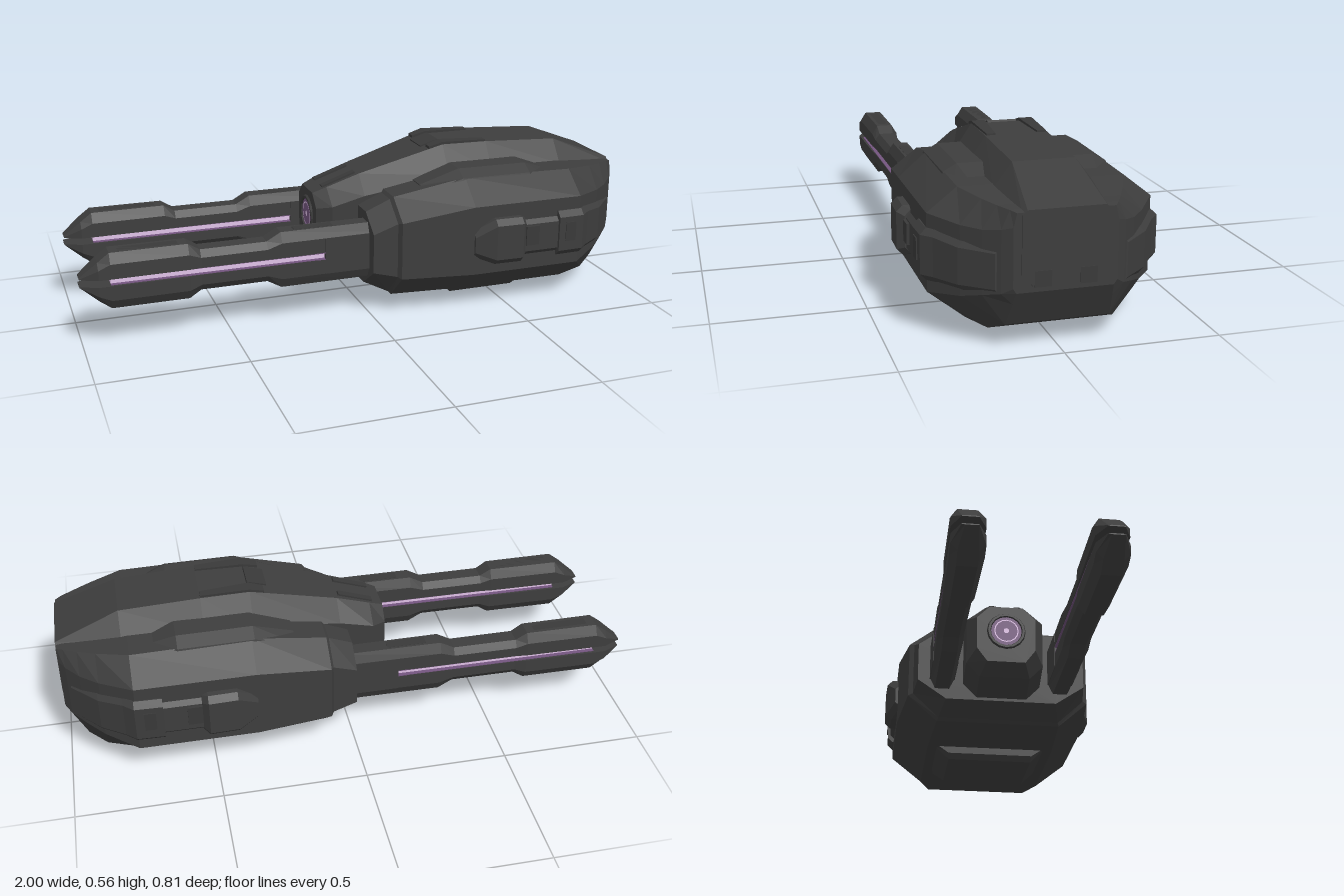
import * as THREE from 'three';

const shell = new THREE.MeshStandardMaterial({ color: 0x3d3d3d, flatShading: true });
const trim = new THREE.MeshStandardMaterial({ color: 0x393939, flatShading: true });
const glow = new THREE.MeshStandardMaterial({ color: 0xecccf4 });
const violet = new THREE.MeshStandardMaterial({ color: 0x74557f });

// Full ring from a right-left symmetric half profile of [z, y], bottom to top
const sym = (half) => [...half, ...half.map(([z, y]) => [-z, y]).reverse()];
// Ring reflected to the other side, keeping its winding
const flip = (ring) => ring.map(([z, y]) => [-z, y]).reverse();

// Skins rings of [z, y] points along x: sections = [[x, ring], ...]
function loft(sections) {
  const pos = [];
  const n = sections[0][1].length;
  const add = (s, j) => pos.push(sections[s][0], sections[s][1][j % n][1], sections[s][1][j % n][0]);
  for (let s = 0; s < sections.length - 1; s++) {
    for (let j = 0; j < n; j++) {
      add(s, j); add(s + 1, j); add(s, j + 1);
      add(s, j + 1); add(s + 1, j); add(s + 1, j + 1);
    }
  }
  const last = sections.length - 1;
  for (let j = 1; j < n - 1; j++) {
    add(0, 0); add(0, j); add(0, j + 1);
    add(last, 0); add(last, j + 1); add(last, j);
  }
  const g = new THREE.BufferGeometry();
  g.setAttribute('position', new THREE.Float32BufferAttribute(pos, 3));
  g.computeVertexNormals();
  return g;
}

function part(parent, name, geometry, material, x = 0, y = 0, z = 0) {
  const m = new THREE.Mesh(geometry, material);
  m.name = name;
  m.position.set(x, y, z);
  parent.add(m);
  return m;
}
const box = (parent, name, mat, w, h, d, x, y, z) =>
  part(parent, name, new THREE.BoxGeometry(w, h, d), mat, x, y, z);

// One barrel: two bevelled rails with a recessed glowing strip between them
function barrel(side) {
  const g = new THREE.Group();
  g.name = side > 0 ? 'leftBarrel' : 'rightBarrel';
  // x, rail height beyond the gap, half width
  const profile = [
    [-1, 0.004, 0.026], [-0.94, 0.055, 0.053], [-0.9, 0.085, 0.053], [-0.64, 0.085, 0.05],
    [-0.6, 0.06, 0.046], [-0.37, 0.06, 0.045], [-0.32, 0.088, 0.045], [0.05, 0.088, 0.042],
  ];
  const rail = (dir) => profile.map(([x, h, w]) => {
    const y = 0.238 + dir * 0.012;
    const half = [[w, y], [w, y + dir * h * 0.6], [w * 0.6, y + dir * h]];
    return [x, sym(dir > 0 ? half : half.reverse())];
  });
  part(g, 'upperRail', loft(rail(1)), shell);
  part(g, 'lowerRail', loft(rail(-1)), shell);
  // Glowing core with violet linings on the inner rail faces
  box(g, 'glowStrip', glow, 0.74, 0.022, 0.06, -0.53, 0.238, 0);
  for (const dir of [1, -1]) box(g, 'gapLining', violet, 0.74, 0.003, 0.088, -0.53, 0.238 + dir * 0.0115, 0);
  box(g, 'breechBlock', shell, 0.22, 0.13, 0.09, -0.055, 0.238, 0);
  box(g, 'railCap', trim, 0.2, 0.01, 0.035, -0.77, 0.33, 0);
  box(g, 'breechCap', trim, 0.14, 0.01, 0.035, -0.2, 0.334, 0);
  g.position.z = side * 0.215;
  return g;
}

// Armour on one flank: pod, panels and shoulder plate
function flank(side) {
  const g = new THREE.Group();
  g.name = side > 0 ? 'leftFlank' : 'rightFlank';
  const put = (ring) => (side > 0 ? ring : flip(ring));
  const pod = (x, z, lo, hi) => [x, put([
    [0.16, lo], [z - 0.02, lo], [z, lo + 0.02], [z, hi - 0.02], [z - 0.02, hi], [0.16, hi],
  ])];
  part(g, 'frontPod', loft([
    pod(0.35, 0.37, 0.205, 0.3), pod(0.42, 0.4, 0.18, 0.345), pod(0.52, 0.403, 0.18, 0.345), pod(0.54, 0.38, 0.19, 0.335),
  ]), shell);
  part(g, 'middlePod', loft([
    pod(0.54, 0.375, 0.19, 0.33), pod(0.67, 0.375, 0.19, 0.33),
  ]), shell);
  part(g, 'rearPod', loft([
    pod(0.67, 0.385, 0.18, 0.345), pod(0.765, 0.382, 0.18, 0.345), pod(0.8, 0.35, 0.18, 0.345),
    pod(0.88, 0.295, 0.18, 0.335), pod(0.965, 0.205, 0.185, 0.335),
  ]), shell);
  box(g, 'podHatch', trim, 0.04, 0.07, 0.01, 0.715, 0.27, side * 0.382);
  box(g, 'podLatch', trim, 0.05, 0.07, 0.02, 0.565, 0.27, side * 0.375);

  // Raised plate along the upper shoulder
  const plate = (x, zi, zo, y, t) => [x, put([
    [zi, y - 0.06], [zo, y - 0.06], [zo - 0.015, y - 0.015], [zo - 0.06, y + t], [zi, y + t],
  ])];
  part(g, 'shoulderPlate', loft([
    plate(0.2, 0.14, 0.27, 0.44, 0.005), plate(0.34, 0.14, 0.285, 0.485, 0.01),
    plate(0.6, 0.14, 0.285, 0.483, 0.01), plate(0.68, 0.14, 0.27, 0.46, 0.005),
  ]), shell);

  // Crown fin, nose plate and tail port
  part(g, 'crownFin', loft([
    [0.28, put([[0.065, 0.52], [0.1, 0.52], [0.1, 0.548], [0.065, 0.548]])],
    [0.33, put([[0.06, 0.52], [0.105, 0.52], [0.105, 0.562], [0.06, 0.562]])],
    [0.5, put([[0.07, 0.52], [0.1, 0.52], [0.1, 0.556], [0.07, 0.556]])],
  ]), trim);
  box(g, 'nosePlate', trim, 0.13, 0.01, 0.025, -0.05, 0.443, side * 0.045).rotation.z = 0.33;
  box(g, 'tailPort', trim, 0.006, 0.05, 0.052, 0.999, 0.24, side * 0.07);
  return g;
}

export function createModel() {
  const model = new THREE.Group();
  model.name = 'twinBarrelTurret';

  // Main hull: x, floor half width, floor y, side half width, side low y, side high y, roof half width, roof y
  const hull = [
    [-0.005, 0.2, 0.1, 0.303, 0.17, 0.31, 0.22, 0.37],
    [0.08, 0.22, 0.06, 0.315, 0.15, 0.345, 0.23, 0.41],
    [0.09, 0.225, 0.05, 0.332, 0.145, 0.35, 0.24, 0.42],
    [0.35, 0.24, 0.045, 0.36, 0.14, 0.39, 0.265, 0.472],
    [0.76, 0.24, 0.045, 0.36, 0.14, 0.39, 0.265, 0.465],
    [0.87, 0.2, 0.05, 0.285, 0.16, 0.38, 0.22, 0.455],
    [0.93, 0.165, 0.08, 0.235, 0.18, 0.38, 0.19, 0.45],
    [0.975, 0.155, 0.16, 0.19, 0.195, 0.39, 0.165, 0.447],
    [0.997, 0.15, 0.2, 0.16, 0.215, 0.4, 0.15, 0.443],
  ];
  part(model, 'hull', loft(hull.map(([x, zb, yb, w, yl, yu, zs, ys]) =>
    [x, sym([[zb, yb], [w, yl], [w, yu], [zs, ys]])])), shell);

  // Central spine and nose: x, half width, bottom y, shoulder y, top half width, top y
  const spine = [
    [-0.15, 0.105, 0.19, 0.36, 0.06, 0.405],
    [-0.1, 0.138, 0.15, 0.37, 0.07, 0.425],
    [0.02, 0.14, 0.1, 0.4, 0.075, 0.465],
    [0.33, 0.17, 0.1, 0.455, 0.105, 0.553],
    [0.5, 0.17, 0.1, 0.455, 0.105, 0.55],
    [0.78, 0.16, 0.2, 0.455, 0.1, 0.535],
    [1, 0.135, 0.205, 0.435, 0.12, 0.45],
  ];
  part(model, 'spine', loft(spine.map(([x, w, yb, ym, wt, yt]) =>
    [x, sym([[w * 0.65, yb], [w, yb + 0.05], [w, ym], [wt, yt]])])), shell);
  box(model, 'crownHatch', trim, 0.07, 0.01, 0.1, 0.3, 0.545, 0).rotation.z = 0.28;

  // Nose emitter facing forward along the barrels
  const eyeY = 0.31;
  const disc = (name, r0, r1, mat, x) => {
    part(model, name, new THREE.RingGeometry(r0, r1, 16), mat, x, eyeY, 0).rotation.y = -Math.PI / 2;
  };
  part(model, 'emitterRim', new THREE.TorusGeometry(0.062, 0.008, 6, 16), trim, -0.15, eyeY, 0).rotation.y = Math.PI / 2;
  disc('emitterLens', 0, 0.06, violet, -0.152);
  disc('emitterOuterGlow', 0.04, 0.044, glow, -0.154);
  disc('emitterCoreGlow', 0, 0.01, glow, -0.154);

  // Belly mount plate
  part(model, 'bellyPlate', loft([
    [0.335, sym([[0.16, 0.02], [0.21, 0.055]])],
    [0.35, sym([[0.158, 0], [0.21, 0.05]])],
    [0.6, sym([[0.158, 0], [0.21, 0.05]])],
    [0.67, sym([[0.158, 0.045], [0.21, 0.06]])],
  ]), shell);

  for (const side of [1, -1]) model.add(barrel(side), flank(side));
  return model;
}
